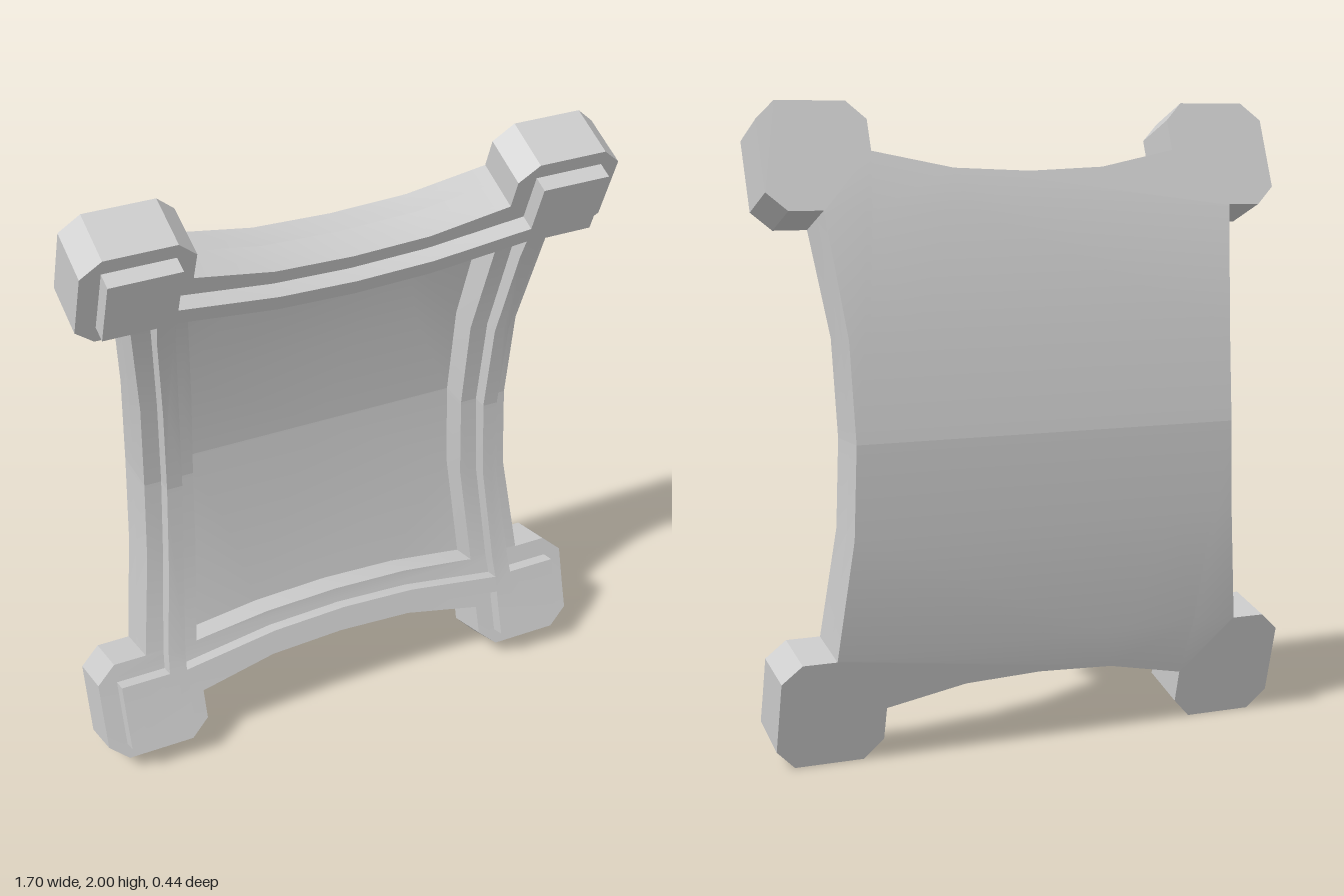
import * as THREE from 'three';
import { mergeGeometries, toCreasedNormals } from 'three/addons/utils/BufferGeometryUtils.js';

// Stations of the curved back surface: flat height from the middle, y, z, vertical lean of the normal
const STATIONS = [
  [-1, 0, -0.07, 0.36], [-0.85, 0.166, -0.116, 0.25], [-0.67, 0.345, -0.165, 0.25],
  [-0.29, 0.715, -0.212, 0.06], [0, 1, -0.217, 0], [0.29, 1.305, -0.184, -0.05],
  [0.67, 1.675, -0.098, -0.38], [1, 2, 0.03, -0.4],
];

// Bend a flat point (x, height, thickness) onto the curve
function bend(p) {
  let i = 0;
  while (i < STATIONS.length - 2 && p.y > STATIONS[i + 1][0]) i++;
  const [a, b] = [STATIONS[i], STATIONS[i + 1]];
  const t = (p.y - a[0]) / (b[0] - a[0]);
  const [y, z, lean] = [1, 2, 3].map((k) => THREE.MathUtils.lerp(a[k], b[k], t));
  return new THREE.Vector3(p.x, y + p.z * lean, z + p.z * (1 - 0.08 * Math.abs(lean)));
}

// Keep the part of a polygon above (sign 1) or below (sign -1) a height
function clip(poly, height, sign) {
  const out = [];
  poly.forEach((p, i) => {
    const q = poly[(i + 1) % poly.length];
    const dp = (p.y - height) * sign, dq = (q.y - height) * sign;
    if (dp >= 0) out.push(p);
    if (dp * dq < 0) out.push(p.clone().lerp(q, dp / (dp - dq)));
  });
  return out;
}

// Mirror one quarter of an outline (top centre to side middle) into a full counter-clockwise loop
function mirrorLoop(quarter) {
  const half = [...quarter, ...quarter.slice(0, -1).reverse().map(([x, y]) => [x, -y])];
  const other = half.slice(1, -1).reverse().map(([x, y]) => [-x, y]);
  return [...half, ...other].reverse().map(([x, y]) => new THREE.Vector2(x, y));
}

const cross = ([a, b, c]) => b.clone().sub(a).cross(c.clone().sub(a));

// Extruded layer with one lid (1 front, -1 back), cut at the stations and bent;
// upper and lower halves meet in a crease
function layer(name, outline, hole, from, to, lid, material) {
  const shape = new THREE.Shape(mirrorLoop(outline));
  if (hole) shape.holes.push(new THREE.Path(mirrorLoop(hole)));
  const flat = new THREE.ExtrudeGeometry(shape, { depth: to - from, bevelEnabled: false });
  flat.translate(0, 0, from);
  const pos = flat.attributes.position;
  const halves = [[], []];
  for (let i = 0; i < pos.count; i += 3) {
    const tri = [0, 1, 2].map((k) => new THREE.Vector3().fromBufferAttribute(pos, i + k));
    if (cross(tri).normalize().z * lid < -0.5) continue;
    for (let s = 0; s < STATIONS.length - 1; s++) {
      const band = clip(clip(tri, STATIONS[s][0] - (s ? 0 : 0.01), 1),
        STATIONS[s + 1][0] + (s === STATIONS.length - 2 ? 0.01 : 0), -1);
      for (let k = 1; k < band.length - 1; k++) {
        const t = [band[0], band[k], band[k + 1]];
        if (cross(t).length() > 1e-7) halves[STATIONS[s][0] < 0 ? 0 : 1].push(...t.map(bend));
      }
    }
  }
  const parts = halves.map((points) =>
    toCreasedNormals(new THREE.BufferGeometry().setFromPoints(points), 0.35));
  const mesh = new THREE.Mesh(mergeGeometries(parts), material);
  mesh.name = name;
  return mesh;
}

export function createModel() {
  const group = new THREE.Group();
  group.name = 'curvedPanel';
  const material = new THREE.MeshStandardMaterial({ color: 0xcccccc });

  // Outer edge with chamfered corner blocks
  const outer = [[0, 0.787], [0.25, 0.798], [0.507, 0.85], [0.507, 0.945], [0.567, 1], [0.788, 1],
    [0.85, 0.945], [0.85, 0.73], [0.788, 0.675], [0.68, 0.675], [0.638, 0.29], [0.63, 0]];
  // Edge of the sunken middle
  const recess = [[0, 0.63], [0.25, 0.64], [0.505, 0.675], [0.475, 0.29], [0.47, 0]];
  // Raised ridge with corner pads
  const ridgeOuter = [[0, 0.738], [0.25, 0.748], [0.567, 0.792], [0.567, 0.95], [0.788, 0.95],
    [0.788, 0.735], [0.625, 0.735], [0.585, 0.29], [0.575, 0]];
  const ridgeInner = [[0, 0.685], [0.25, 0.695], [0.567, 0.738], [0.535, 0.29], [0.525, 0]];

  // Thickness of the back plate, the frame on it and the ridge on the frame
  const floor = 0.07, face = 0.167, top = 0.217;
  group.add(
    layer('backPlate', outer, null, 0, floor, -1, material),
    layer('sunkenPanel', recess, null, floor, floor, 1, material),
    layer('frame', outer, recess, floor, face, 1, material),
    layer('raisedRidge', ridgeOuter, ridgeInner, face, top, 1, material),
  );
  return group;
}
